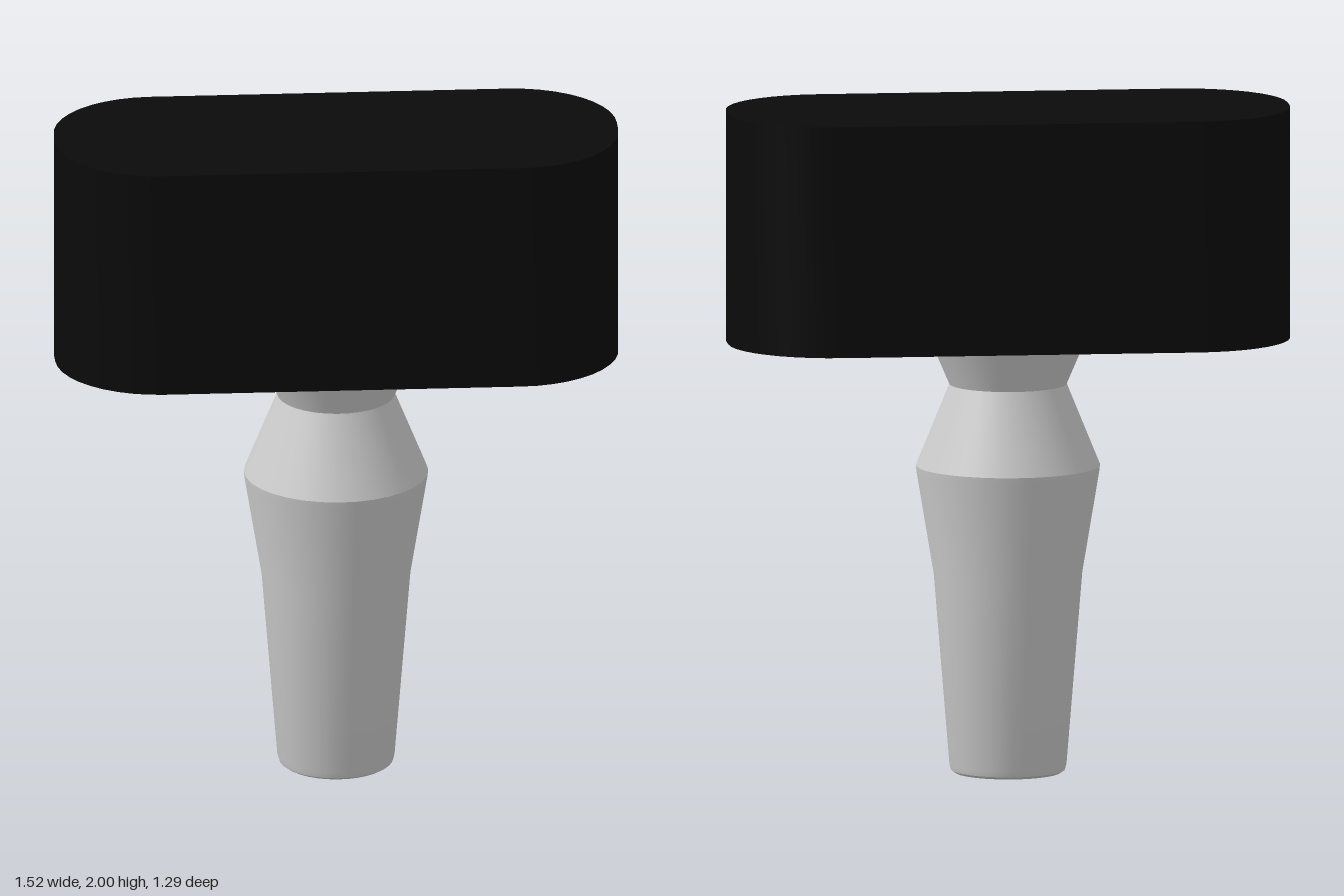
import * as THREE from 'three';
import { toCreasedNormals } from 'three/addons/utils/BufferGeometryUtils.js';

// Rectangle with rounded corners, given by its corner centres and radius
function roundedOutline(cx, cy, r) {
  const shape = new THREE.Shape();
  const corners = [[cx, cy], [-cx, cy], [-cx, -cy], [cx, -cy]];
  corners.forEach(([x, y], i) => {
    const a = i * Math.PI / 2;
    shape.absarc(x, y, r, a, a + Math.PI / 2, false);
  });
  shape.closePath();
  return shape;
}

export function createModel() {
  const model = new THREE.Group();
  model.name = 'mallet';

  // Turned handle: tapered grip, shoulder, narrow neck and flared collar
  const profile = [
    [0, 0], [0.158, 0], [0.17, 0.008], [0.175, 0.025], [0.222, 0.6],
    [0.273, 0.905], [0.275, 0.925], [0.175, 1.17], [0.235, 1.31], [0, 1.31],
  ].map(([x, y]) => new THREE.Vector2(x, y));
  const handle = new THREE.Mesh(
    toCreasedNormals(new THREE.LatheGeometry(profile, 32), 0.3),
    new THREE.MeshStandardMaterial({ color: 0xcccccc }),
  );
  handle.name = 'handle';
  model.add(handle);

  // Black head: upright block with rounded ends, turned about the handle
  const headGeometry = new THREE.ExtrudeGeometry(roundedOutline(0.533, 0.031, 0.308), {
    depth: 0.695, bevelEnabled: false, curveSegments: 5,
  });
  headGeometry.rotateX(-Math.PI / 2);
  const head = new THREE.Mesh(
    toCreasedNormals(headGeometry, 0.6),
    new THREE.MeshStandardMaterial({ color: 0x0a0a0a }),
  );
  head.name = 'head';
  head.position.y = 1.305;
  head.rotation.y = 0.625;
  model.add(head);

  return model;
}
